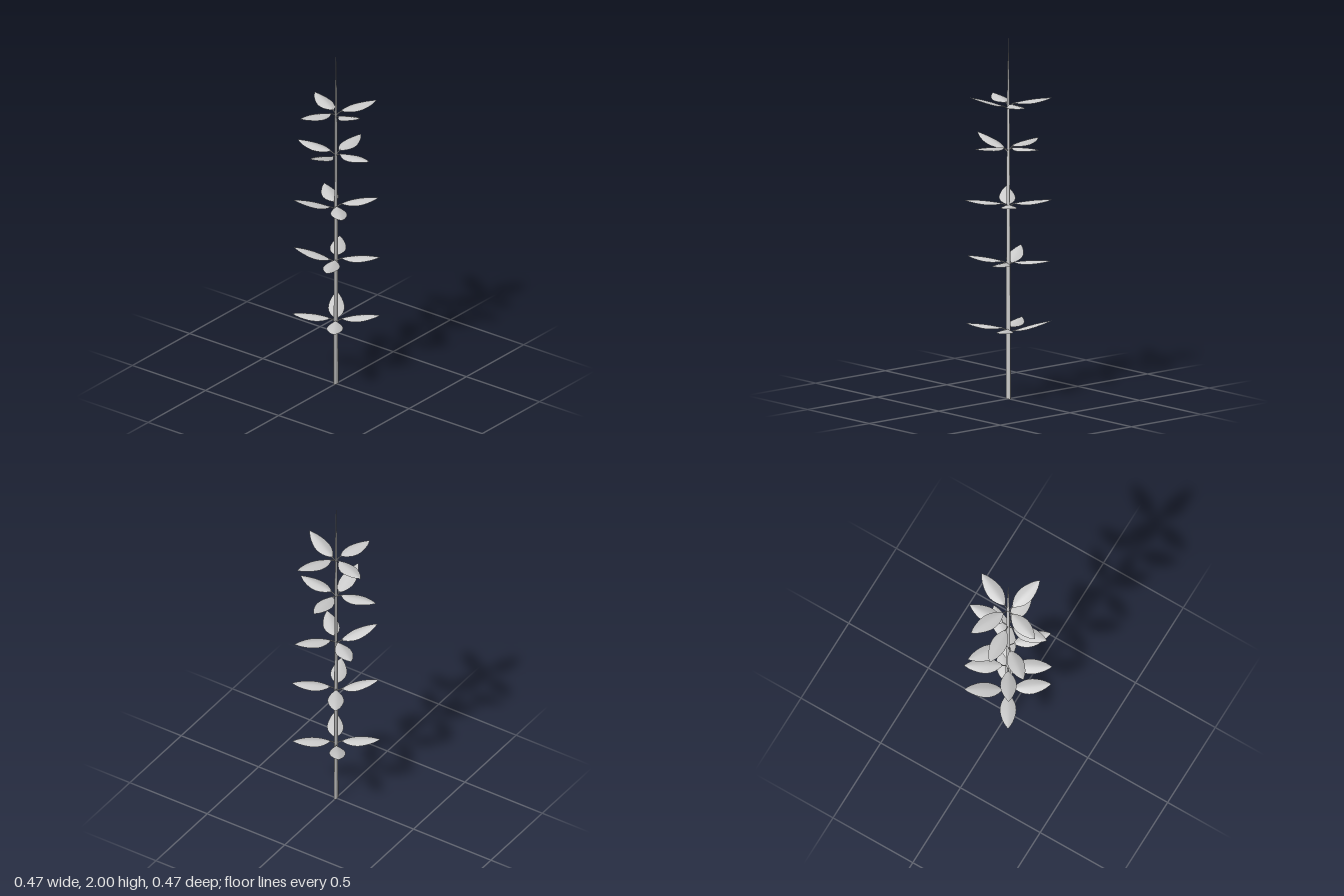
import * as THREE from 'three';

const material = new THREE.MeshStandardMaterial({ color: 0xcccccc, roughness: 0.8 });
const leafMaterial = new THREE.MeshStandardMaterial({ color: 0xcccccc, roughness: 0.8, side: THREE.DoubleSide });

// Whorls: height of the level leaf tips, then [tip x, tip z] of four leaves;
// the first leaf of each whorl is tilted upward.
const whorls = [
  [0.405, [[0.19, -0.143], [0.152, 0.182], [-0.19, 0.135], [-0.122, -0.205]]],
  [0.77, [[-0.12, -0.195], [0.2, -0.13], [0.123, 0.205], [-0.212, 0.107]]],
  [1.09, [[-0.183, -0.147], [0.14, -0.19], [0.18, 0.15], [-0.168, 0.17]]],
  [1.4, [[-0.235, 0.013], [-0.027, -0.24], [0.235, -0.013], [-0.01, 0.235]]],
  [1.64, [[-0.07, 0.217], [-0.213, -0.077], [0.1, -0.223], [0.227, 0.1]]],
];

// Tapered stem with an elliptical section, running to a point
function makeStem() {
  const profile = [
    [0, 0], [0.0175, 0], [0.0165, 0.4], [0.0145, 0.8], [0.012, 1.2],
    [0.0095, 1.6], [0.006, 1.78], [0.003, 1.9], [0, 2],
  ].map(([r, y]) => new THREE.Vector2(r, y));
  const stem = new THREE.Mesh(new THREE.LatheGeometry(profile, 12), material);
  stem.scale.z = 0.5;
  stem.name = 'stem';
  return stem;
}

// Half-width of the blade along its length: round base, widest before the middle, pointed tip
const halfWidths = new THREE.SplineCurve(
  [[0, 0.004], [0.1, 0.021], [0.25, 0.037], [0.42, 0.044], [0.6, 0.04], [0.8, 0.026], [0.93, 0.011], [1, 0]]
    .map(([t, w]) => new THREE.Vector2(t, w)));

// Blade built along +x from its base; the sides droop away from the midrib
function makeBlade(start, end, rise) {
  const rows = 20, cols = 8;
  const geometry = new THREE.PlaneGeometry(1, 1, cols, rows);
  const position = geometry.attributes.position;
  for (let i = 0; i < position.count; i++) {
    const side = position.getX(i) * 2;
    const { x: t, y: width } = halfWidths.getPoint(0.5 - position.getY(i));
    const arch = 0.005 * Math.sin(Math.PI * t);
    const droop = 0.3 * width * Math.pow(Math.abs(side), 1.5);
    position.setXYZ(i, start + (end - start) * t, -rise * (1 - t) + arch - droop, -side * width);
  }
  geometry.computeVertexNormals();
  const blade = new THREE.Mesh(geometry, leafMaterial);
  blade.name = 'leafBlade';
  return blade;
}

// Leaf with a slim stalk; its tip lies at local height 0
function makeLeaf(length, rise, drop) {
  const leaf = new THREE.Group();
  leaf.name = 'leaf';
  const start = 0.032;
  const path = new THREE.QuadraticBezierCurve3(
    new THREE.Vector3(0.002, -rise - drop, 0),
    new THREE.Vector3(0.018, -rise - drop * 0.35, 0),
    new THREE.Vector3(start + 0.008, -rise * 0.97, 0));
  const stalk = new THREE.Mesh(new THREE.TubeGeometry(path, 6, 0.003, 6), material);
  stalk.name = 'leafStalk';
  leaf.add(stalk, makeBlade(start, length, rise));
  return leaf;
}

export function createModel() {
  const plant = new THREE.Group();
  plant.name = 'plant';
  plant.add(makeStem());
  for (const [height, tips] of whorls) {
    const whorl = new THREE.Group();
    whorl.name = 'leafWhorl';
    tips.forEach(([x, z], i) => {
      const raised = i === 0;
      const leaf = makeLeaf(Math.hypot(x, z), raised ? 0.062 : 0.016, 0.018);
      leaf.position.y = height + (raised ? 0.034 : 0);
      leaf.rotation.y = -Math.atan2(z, x);
      whorl.add(leaf);
    });
    plant.add(whorl);
  }
  return plant;
}
